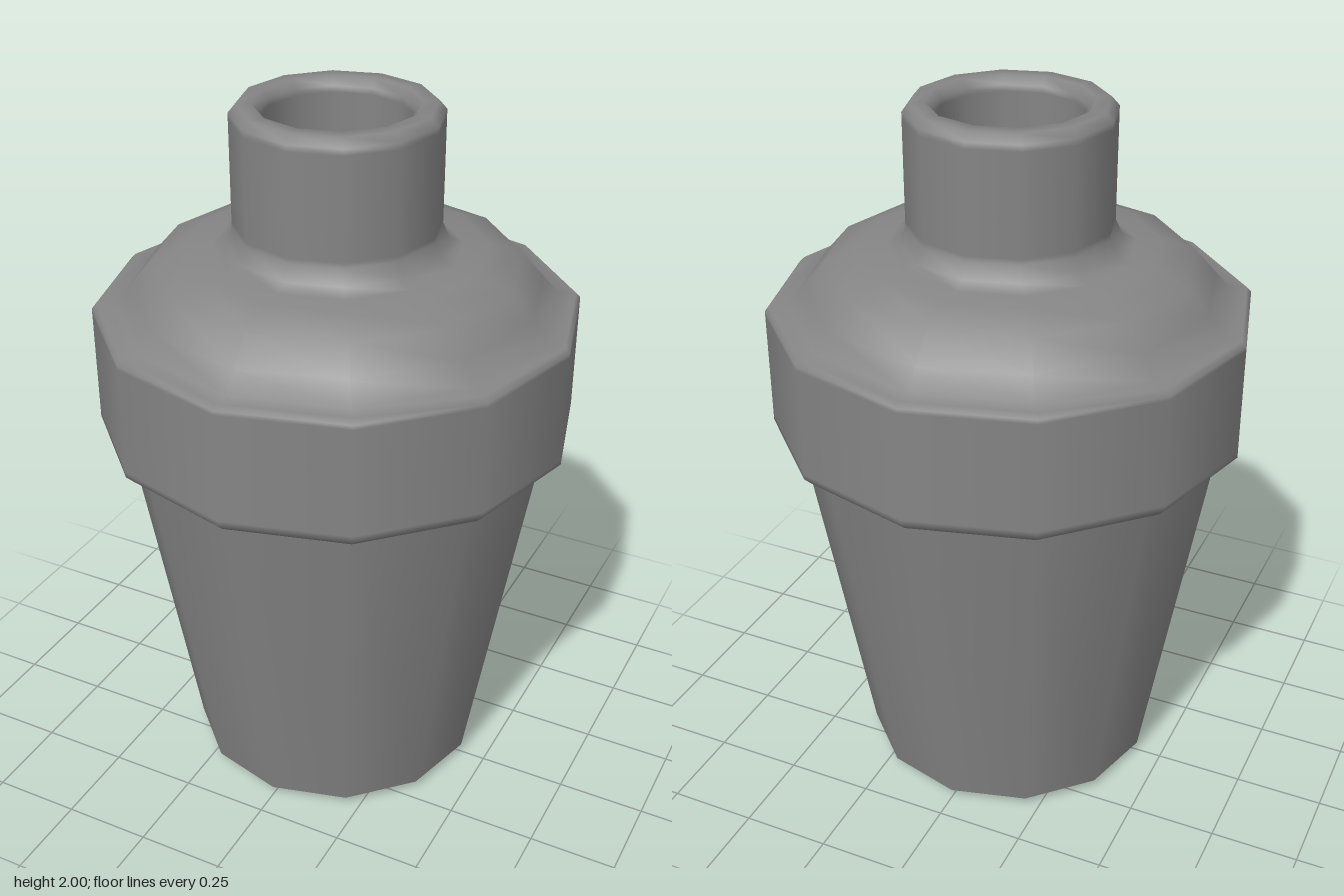
import * as THREE from 'three';

const SIDES = 12;
const material = new THREE.MeshStandardMaterial({ color: 0x858585 });

// Turned part from [radius, height] pairs, listed so the outside faces out
function turned(name, profile) {
  const points = profile.map(([r, y]) => new THREE.Vector2(r, y));
  const mesh = new THREE.Mesh(new THREE.LatheGeometry(points, SIDES), material);
  mesh.name = name;
  return mesh;
}

export function createModel() {
  const group = new THREE.Group();
  group.name = 'shaker';
  group.add(
    // Flat base and its chamfered edge
    turned('base', [[0, 0], [0.395, 0]]),
    turned('baseChamfer', [[0.395, 0], [0.425, 0.027]]),
    // Tapered cup
    turned('cup', [[0.425, 0.027], [0.605, 1.085]]),
    // Lid in one smooth sweep: collar, domed shoulder, hollow neck with rounded lip
    turned('lid', [
      [0.605, 1.085], [0.645, 1.085], [0.665, 1.105], [0.665, 1.12],
      [0.665, 1.425], [0.665, 1.437], [0.652, 1.45], [0.605, 1.45],
      [0.56, 1.502], [0.5, 1.57], [0.405, 1.605], [0.337, 1.607],
      [0.3, 1.623], [0.28, 1.665], [0.28, 1.68],
      [0.28, 1.96], [0.28, 1.977], [0.26, 2],
      [0.22, 2], [0.2, 1.977], [0.2, 1.96], [0.2, 1.6],
    ]),
    // Floor inside the neck
    turned('neckFloor', [[0.2, 1.6], [0, 1.6]]),
  );
  return group;
}
